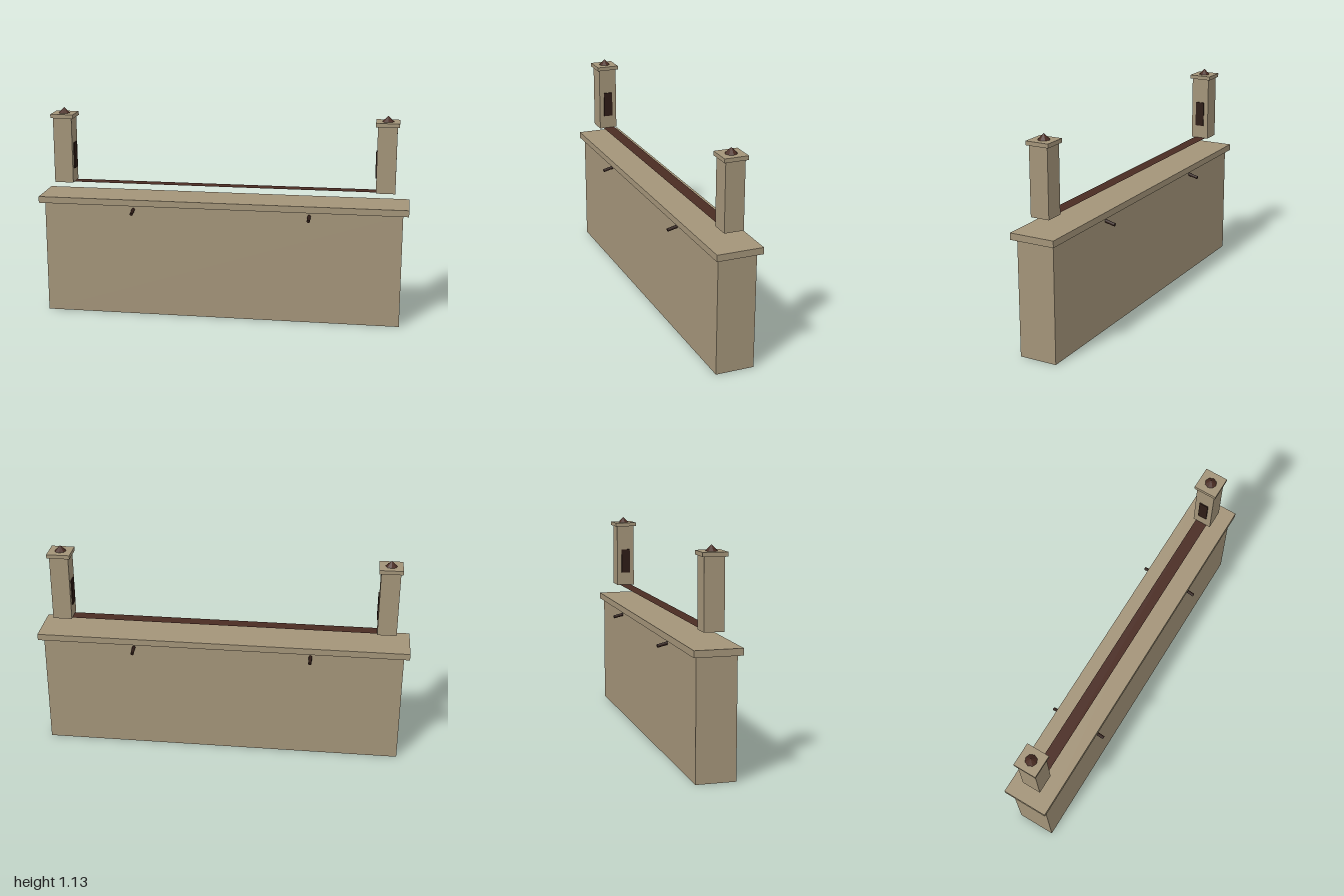
import * as THREE from 'three';

export function createModel() {
  const stone = new THREE.MeshStandardMaterial({ color: 0xa39479 });
  stone.name = 'stone';
  const brown = new THREE.MeshStandardMaterial({ color: 0x4a2c23, side: THREE.DoubleSide });
  brown.name = 'brown';
  const darkBrown = new THREE.MeshStandardMaterial({ color: 0x2e1c16 });
  darkBrown.name = 'darkBrown';

  const model = new THREE.Group();
  model.name = 'wall';

  const add = (parent, name, geometry, material, x, y, z) => {
    const mesh = new THREE.Mesh(geometry, material);
    mesh.name = name;
    mesh.position.set(x, y, z);
    parent.add(mesh);
    return mesh;
  };
  // Box given by its bottom and top heights
  const block = (parent, name, w, bottom, top, d, material, x = 0, z = 0) =>
    add(parent, name, new THREE.BoxGeometry(w, top - bottom, d), material, x, (bottom + top) / 2, z);

  // Wall body and overhanging coping
  block(model, 'wallBody', 1.94, 0, 0.617, 0.204, stone);
  block(model, 'coping', 2, 0.617, 0.652, 0.244, stone);

  // Flat strip running between the posts
  const strip = new THREE.PlaneGeometry(1.645, 0.066).rotateX(-Math.PI / 2);
  add(model, 'strip', strip, brown, 0, 0.721, -0.003);

  // End posts with cap, pointed finial and inner slot
  for (const side of [-1, 1]) {
    const post = new THREE.Group();
    post.name = side > 0 ? 'leftPost' : 'rightPost';
    post.position.x = side * 0.873;
    model.add(post);
    block(post, 'postShaft', 0.102, 0.72, 1.076, 0.102, stone);
    block(post, 'postCap', 0.124, 1.076, 1.097, 0.124, stone);
    const cone = new THREE.ConeGeometry(0.031, 0.031, 8).toNonIndexed();
    cone.computeVertexNormals();
    add(post, 'finial', cone, brown, 0, 1.1125, 0);
    block(post, 'slot', 0.007, 0.795, 0.936, 0.05, darkBrown, -side * 0.0535);
  }

  // Drain spouts sloping down and outwards under the coping, front and back
  for (const x of [-0.477, 0.477]) {
    for (const face of [-1, 1]) {
      const pipe = new THREE.CylinderGeometry(0.009, 0.009, 0.075, 8);
      const spout = add(model, 'spout', pipe, darkBrown, x, 0.59, face * 0.119);
      spout.rotation.x = face * (Math.PI / 2 + 0.24);
    }
  }
  return model;
}
